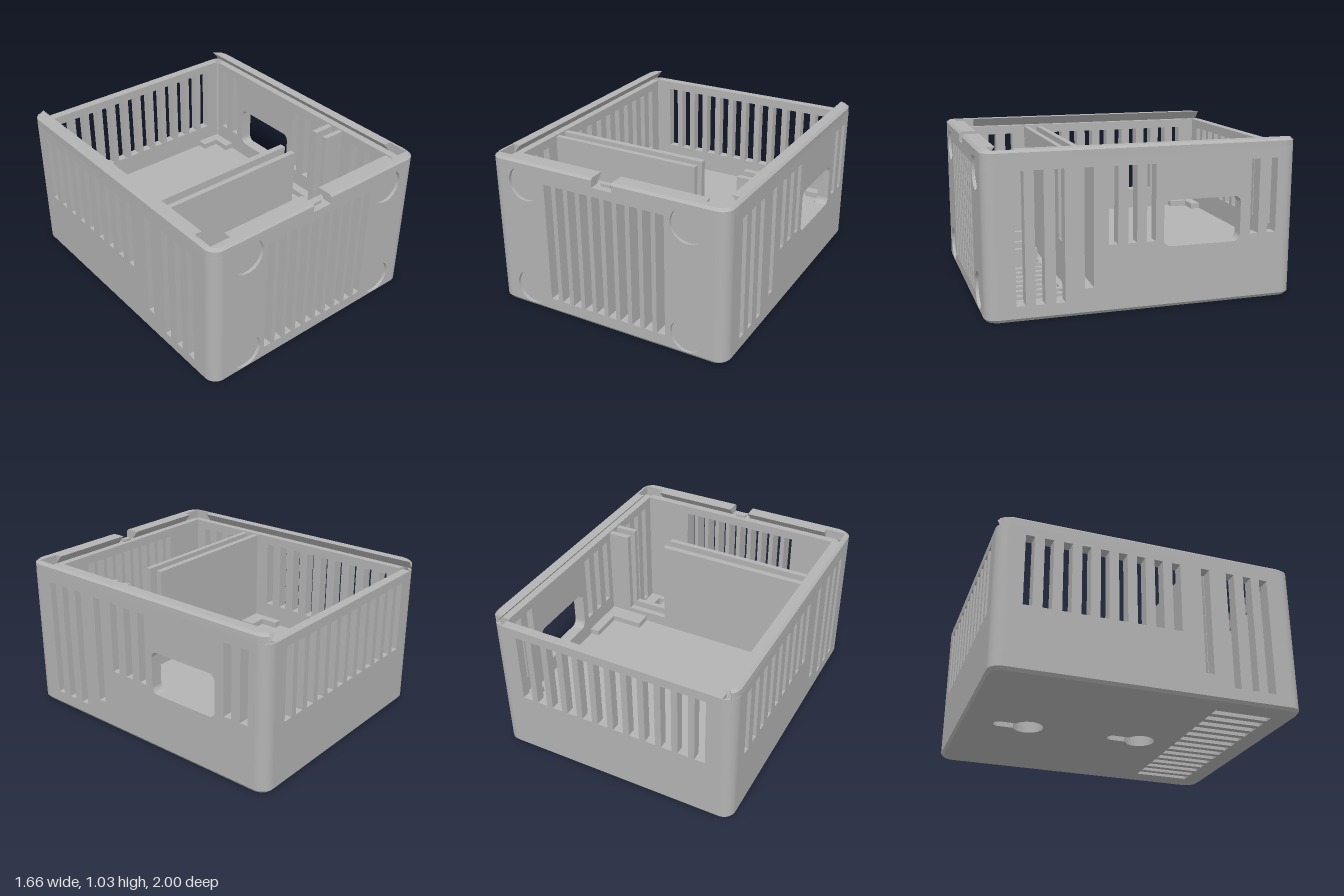
import * as THREE from 'three';
import { toCreasedNormals } from 'three/addons/utils/BufferGeometryUtils.js';

const W = 0.83, IX = 0.75, RIM = 0.97, TOP = 1.03;
const FRONT = 0.89, BACK = -0.94, R = 0.08;

export function createModel() {
  const model = new THREE.Group();
  model.name = 'ventedEnclosure';
  const grey = new THREE.MeshStandardMaterial({ color: 0xb3b3b3 });
  grey.name = 'plasticGrey';

  const add = (name, geo) => {
    const mesh = new THREE.Mesh(toCreasedNormals(geo, 0.5), grey);
    mesh.name = name;
    model.add(mesh);
    return mesh;
  };
  const box = (name, x0, x1, y0, y1, z0, z1) =>
    add(name, new THREE.BoxGeometry(x1 - x0, y1 - y0, z1 - z0)
      .translate((x0 + x1) / 2, (y0 + y1) / 2, (z0 + z1) / 2));

  // 2D helpers
  const poly = (pts, Type = THREE.Shape) => new Type(pts.map(p => new THREE.Vector2(...p)));
  const rect = (a0, a1, b0, b1, Type = THREE.Shape) =>
    poly([[a0, b0], [a1, b0], [a1, b1], [a0, b1]], Type);
  const hole = (a0, a1, b0, b1) => rect(a0, a1, b0, b1, THREE.Path);
  const slot = (c, w, b0, b1) => hole(c - w / 2, c + w / 2, b0, b1);
  const rounded = (a0, a1, b0, b1, r, Type = THREE.Shape) => {
    const s = new Type();
    s.absarc(a1 - r, b0 + r, r, -Math.PI / 2, 0);
    s.absarc(a1 - r, b1 - r, r, 0, Math.PI / 2);
    s.absarc(a0 + r, b1 - r, r, Math.PI / 2, Math.PI);
    s.absarc(a0 + r, b0 + r, r, Math.PI, Math.PI * 1.5);
    s.closePath();
    return s;
  };
  const extrude = (shape, holes, depth) => {
    shape.holes.push(...holes);
    return new THREE.ExtrudeGeometry(shape, { depth, bevelEnabled: false, curveSegments: 10 });
  };
  // shape in (x, z), spanning y0..y1
  const slab = (shape, holes, y0, y1) =>
    extrude(shape, holes, y1 - y0).rotateX(Math.PI / 2).translate(0, y1, 0);
  // shape in (x, y), spanning z0..z1
  const upright = (shape, holes, z0, z1) => extrude(shape, holes, z1 - z0).translate(0, 0, z0);
  // shape in (z, y), spanning x0..x1
  const sidePlate = (shape, holes, x0, x1) =>
    extrude(shape, holes, x1 - x0).rotateY(-Math.PI / 2).translate(x1, 0, 0);

  // Floor: vent slots at the front, two hanging keyholes underneath
  const floorSlots = () => Array.from({ length: 14 }, (_, i) => slot(-0.643 + i * 0.0985, 0.057, 0.465, 0.855));
  const keyhole = z => {
    const r = 0.1, h = 0.042, a = Math.asin(h / r);
    const p = new THREE.Path();
    p.absarc(0, z, r, -Math.PI / 2 + a, Math.PI * 1.5 - a);
    p.absarc(0, z - 0.19, h, Math.PI, Math.PI * 2);
    p.closePath();
    return p;
  };
  const keyholes = () => [keyhole(-0.56), keyhole(0.22)];
  const base = slab(rounded(-W, W, -1, 1, R), [...floorSlots(), ...keyholes()], 0, 0.02);
  const bp = base.attributes.position;
  for (let i = 0; i < bp.count; i++) { // chamfer the lower outer edge
    const x = bp.getX(i), z = bp.getZ(i);
    if (bp.getY(i) < 0.01 && (Math.abs(x) > 0.74 || Math.abs(z) > 0.9)) bp.setXYZ(i, x * 0.982, 0, z * 0.985);
  }
  base.computeVertexNormals();
  add('basePlate', base);
  add('floor', slab(rect(-IX, IX, BACK, FRONT), [...floorSlots(), ...keyholes()], 0.02, 0.08));
  add('raisedFloorCore', slab(rect(-IX, IX, BACK, 0.425), keyholes(), 0.08, 0.17));
  box('raisedFloor', -IX, IX, 0.17, 0.28, BACK, 0.29);

  // Front wall with vents and four round shallow recesses
  const frontSlots = () => Array.from({ length: 10 }, (_, i) => slot(-0.397 + i * 0.0878, 0.057, 0.095, 0.91));
  const recesses = [];
  for (const x of [-0.575, 0.575]) for (const y of [0.14, 0.88]) {
    const c = new THREE.Path();
    c.absarc(x, y, 0.116, 0, Math.PI * 2);
    recesses.push(c);
  }
  // smooth outlines for the recesses
  const face = rect(-IX, IX, 0.02, RIM);
  // the upper recesses run past the wall top, so the skin continues into the rim
  const upper = recesses.map(c => poly(c.getPoints(40).map(p => [p.x, Math.min(p.y, RIM - 0.002)]), THREE.Path));
  add('frontWall', upright(rect(-IX, IX, 0.02, RIM), frontSlots(), FRONT, 0.98));
  add('frontSkin', upright(face, [...frontSlots(), ...upper], 0.98, 1));

  // Back wall
  const backSlots = Array.from({ length: 12 }, (_, i) => slot(-0.616 + i * 0.112, 0.07, 0.43, 0.91));
  add('backWall', upright(rect(-IX, IX, 0.02, RIM), backSlots, -1, BACK));

  // Side walls
  const longSlots = () => [
    ...[0.785, 0.667, 0.543].map(z => slot(z, 0.057, 0.095, 0.91)), slot(0.365, 0.058, 0.17, 0.91)];
  const shortSlots = zs => zs.map(z => slot(z, 0.057, 0.43, 0.91));
  add('leftWall', sidePlate(rect(-0.92, 0.92, 0.02, RIM), [
    ...longSlots(), ...shortSlots([0.213, 0.092, -0.028, -0.717, -0.838]),
    rounded(-0.62, -0.11, 0.39, 0.68, 0.045, THREE.Path)], IX, W));
  add('rightWall', sidePlate(rect(-0.92, 0.92, 0.02, RIM), [
    ...longSlots(), ...shortSlots(Array.from({ length: 9 }, (_, i) => 0.162 - i * 0.12))], -W, -IX));

  // Rounded corner columns
  for (const [x, z, a] of [[1, 1, 0], [-1, 1, 0.5], [-1, -1, 1], [1, -1, 1.5]]) {
    const s = new THREE.Shape();
    s.moveTo(x * IX, z * 0.92);
    s.absarc(x * IX, z * 0.92, R, a * Math.PI, (a + 0.5) * Math.PI);
    s.closePath();
    add('corner', slab(s, [], 0.02, RIM));
  }

  // Dovetail rim for a sliding lid, open at the back.
  // Each station: outer x,z / inner top x,z / inner bottom x,z
  const arc = [1, 2, 3, 4, 5].map(i => {
    const t = i * Math.PI / 12;
    return [IX + R * Math.cos(t), 0.92 + R * Math.sin(t), 0.8, 0.94, 0.8, 0.94];
  });
  const stations = [
    [0.797, -0.985, IX, -0.99, 0.795, -0.98],
    [0.819, -0.96, IX, -0.96, 0.8, -0.96],
    [W, -0.92, IX, -0.92, 0.8, -0.92],
    [W, 0.8, IX, 0.8, 0.8, 0.8],
    [W, 0.8, 0.8, 0.8, 0.8, 0.8],
    [W, 0.92, 0.8, 0.92, 0.8, 0.92],
    ...arc,
    [IX, 1, IX, 0.94, IX, 0.94],
    [0.66, 1, 0.66, 0.94, 0.66, 0.94],
    [0.66, 1, 0.66, FRONT, 0.66, 0.94],
    [0.07, 1, 0.07, FRONT, 0.07, 0.94],
  ];
  const rim = side => {
    const rows = stations.map(([ox, oz, tx, tz, bx, bz]) => [
      [ox, RIM, oz], [ox, 1.015, oz],
      [ox > 0.7 ? ox * 0.982 : ox, TOP, oz * 0.985], [tx, TOP, tz], [bx, RIM, bz],
    ].map(([x, y, z]) => [x * side, y, z]));
    if (side < 0) rows.reverse();
    const v = [];
    const tri = (...ps) => ps.forEach(p => v.push(...p));
    for (let i = 0; i < rows.length - 1; i++) for (let j = 0; j < 5; j++) {
      const k = (j + 1) % 5;
      const [a, b, c, d] = [rows[i][j], rows[i + 1][j], rows[i + 1][k], rows[i][k]];
      tri(a, d, c);
      tri(a, c, b);
    }
    const s = rows[0], e = rows[rows.length - 1];
    for (let j = 1; j < 4; j++) {
      tri(s[0], s[j + 1], s[j]);
      tri(e[0], e[j], e[j + 1]);
    }
    const g = new THREE.BufferGeometry();
    g.setAttribute('position', new THREE.Float32BufferAttribute(v, 3));
    g.computeVertexNormals();
    return g;
  };
  add('leftLidRail', rim(1));
  add('rightLidRail', rim(-1));
  box('lidCatch', -0.034, 0.034, RIM, 0.988, 0.92, 0.955);

  // Double partition with an open window near the left wall
  for (const [z0, z1] of [[0.29, 0.33], [0.39, 0.425]]) {
    add('partition', upright(poly([
      [-IX, 0.17], [IX, 0.17], [IX, 0.96], [0.6, 0.96],
      [0.6, 0.355], [0.31, 0.355], [0.31, 0.96], [-IX, 0.96]]), [], z0, z1));
  }

  // L-shaped corner supports on the raised floor
  const support = (x, xi, xo, z, zi, zo) => add('cornerSupport', slab(
    poly([[x, z], [xo, z], [xo, zi], [xi, zi], [xi, zo], [x, zo]]), [], 0.28, 0.32));
  support(-IX, -0.69, -0.57, BACK, -0.87, -0.745);
  support(IX, 0.685, 0.565, BACK, -0.87, -0.745);
  support(-IX, -0.69, -0.57, 0.29, 0.18, 0.06);
  support(IX, 0.685, 0.465, 0.29, 0.18, -0.04);

  // Low fins between the floor vents
  for (const x of [-0.594, -0.299, -0.102]) box('floorFin', x - 0.02, x + 0.02, 0.08, 0.19, 0.485, 0.83);

  return model;
}
